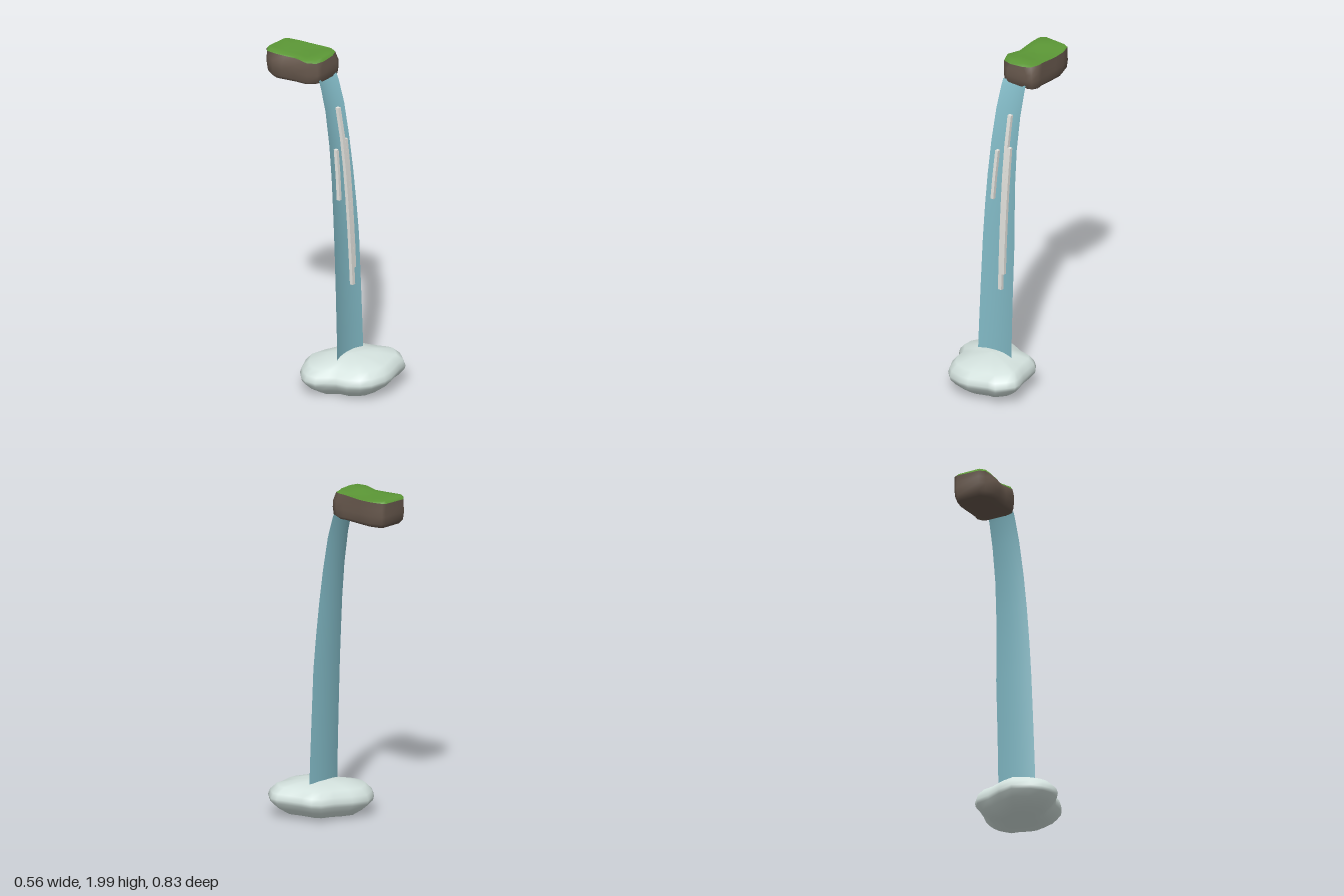
import * as THREE from 'three';

const mat = (name, color, side = THREE.FrontSide) => {
  const m = new THREE.MeshStandardMaterial({ color, side });
  m.name = name;
  return m;
};

// Smooth surface through rows of points; closed rows wrap round
function loft(rows, closed) {
  const n = rows[0].length, pos = rows.flat(2), index = [];
  for (let i = 0; i < rows.length - 1; i++) {
    for (let j = 0; j < (closed ? n : n - 1); j++) {
      const k = (j + 1) % n;
      const a = i * n + j, b = i * n + k, c = (i + 1) * n + k, d = (i + 1) * n + j;
      index.push(a, b, c, a, c, d);
    }
  }
  const g = new THREE.BufferGeometry();
  g.setAttribute('position', new THREE.Float32BufferAttribute(pos, 3));
  g.setIndex(index);
  g.computeVertexNormals();
  return g;
}

// Outline [x, z] scaled about a centre and lifted to a height (number or rule)
const ring = (outline, [cx, cz], s, y) => outline.map(([px, pz]) => {
  const x = cx + (px - cx) * s, z = cz + (pz - cz) * s;
  return [x, typeof y === 'function' ? y(x, z) : y, z];
});

// Linear lookup of a column in a table whose first column is a falling height
function sample(table, y, col) {
  let i = 0;
  while (i < table.length - 2 && y < table[i + 1][0]) i++;
  const t = (y - table[i][0]) / (table[i + 1][0] - table[i][0]);
  return THREE.MathUtils.lerp(table[i][col], table[i + 1][col], t);
}

export function createModel() {
  const group = new THREE.Group();
  const rock = mat('rock brown', 0x66574c);
  const grass = mat('grass green', 0x5c9836);
  const water = mat('water blue', 0x82bac6, THREE.DoubleSide);
  const mist = mat('mist white', 0xd4e2de);
  const foam = mat('foam white', 0xe2e2dd);
  const add = (name, geometry, material) => {
    const m = new THREE.Mesh(geometry, material);
    m.name = name;
    group.add(m);
    return m;
  };

  // Cliff block with a grassy top
  const cliff = [[-.06, -.418], [-.09, -.39], [-.12, -.33], [-.115, -.27], [-.105, -.18], [-.105, -.09],
    [-.07, -.042], [-.04, -.033], [.1, -.033], [.13, -.045], [.148, -.085], [.138, -.13],
    [.138, -.25], [.135, -.33], [.11, -.4], [.09, -.412]];
  const turf = [[-.06, -.416], [-.09, -.39], [-.095, -.33], [-.09, -.26], [-.08, -.19], [-.1, -.1],
    [-.075, -.05], [-.02, -.037], [.07, -.042], [.115, -.058], [.135, -.1], [.135, -.14],
    [.137, -.25], [.132, -.33], [.108, -.4], [.085, -.412]];
  const mid = [.015, -.225];
  const rim = (x, z) => 1.975 + .07 * Math.max(0, x - .03) * (z > -.2 ? 2 : 1);
  const under = (x, z) => 1.836 + .035 * (z + .2);
  add('cliffRock', loft([
    ring(cliff, mid, 0, under), ring(cliff, mid, .5, under), ring(cliff, mid, .86, under),
    ring(cliff, mid, .97, 1.855), ring(cliff, mid, 1, 1.9), ring(cliff, mid, .99, 1.94),
    ring(turf, mid, 1, rim),
  ], true), rock);
  const top = (x, z) => 1.983 + .5 * (z + .22) ** 2 * (z > -.22 ? 1 : .6);
  add('grassTop', loft([
    ring(turf, mid, 1, rim), ring(turf, mid, .93, top), ring(turf, mid, .5, top), ring(turf, mid, 0, top),
  ], true), grass);

  // Falling water: height, left x, right x, middle z
  const fall = [
    [1.87, -.068, .095, -.05], [1.83, -.07, .097, -.035], [1.7, -.076, .099, .002],
    [1.5, -.085, .101, .037], [1.3, -.093, .108, .06], [1.1, -.1, .117, .076],
    [.9, -.105, .125, .089], [.6, -.11, .125, .103], [.35, -.114, .126, .113], [.17, -.117, .127, .119],
  ];
  const across = [0, .12, .3, .5, .7, .88, 1];
  add('waterfall', loft([...fall].reverse().map(([y, l, r, z]) => across.map(t => [
    THREE.MathUtils.lerp(l, r, t), y, z + .016 * Math.abs(2 * t - 1) ** 2,
  ])), false), water);

  // Foam streaks: bars bent to follow the water; offsets stand them clear of it
  const streaks = [
    ['foamStreakLong', 1.69, .62, .032, .04, .024, .022],
    ['foamStreakRight', 1.5, .72, .056, .057, .02, .022],
    ['foamStreakLeft', 1.46, 1.16, -.032, -.043, .02, .02],
  ];
  for (const [name, y1, y0, x1, x0, w, off] of streaks) {
    const g = new THREE.BoxGeometry(w, y1 - y0, .02, 1, 6, 1);
    g.translate(0, (y0 + y1) / 2, 0);
    const p = g.attributes.position;
    for (let i = 0; i < p.count; i++) {
      const y = p.getY(i), t = (y - y0) / (y1 - y0);
      p.setX(i, p.getX(i) + THREE.MathUtils.lerp(x0, x1, t));
      p.setZ(i, p.getZ(i) + sample(fall, y, 3) + off);
    }
    g.computeVertexNormals();
    add(name, g, foam);
  }

  // Lumpy cloud of mist at the foot
  const cloud = [[-.1, -.115], [-.2, -.07], [-.255, -.02], [-.283, .03], [-.283, .1], [-.24, .155], [-.215, .2],
    [-.207, .27], [-.17, .34], [-.12, .385], [-.03, .413], [.03, .413], [.15, .38], [.205, .378],
    [.25, .33], [.28, .29], [.28, .25], [.255, .18], [.235, .1], [.225, .035], [.19, -.01], [.1, -.035], [0, -.085]];
  const heart = [0, .15];
  const level = y => x => y + .05 * x;
  add('mistCloud', loft([
    [0, .022], [.4, .018], [.66, .022], [.86, .06], [.98, .095], [1, .118], [.96, .15], [.83, .186], [.5, .206], [.25, .215], [0, .218],
  ].map(([s, y]) => ring(cloud, heart, s, level(y))), true), mist);

  return group;
}
